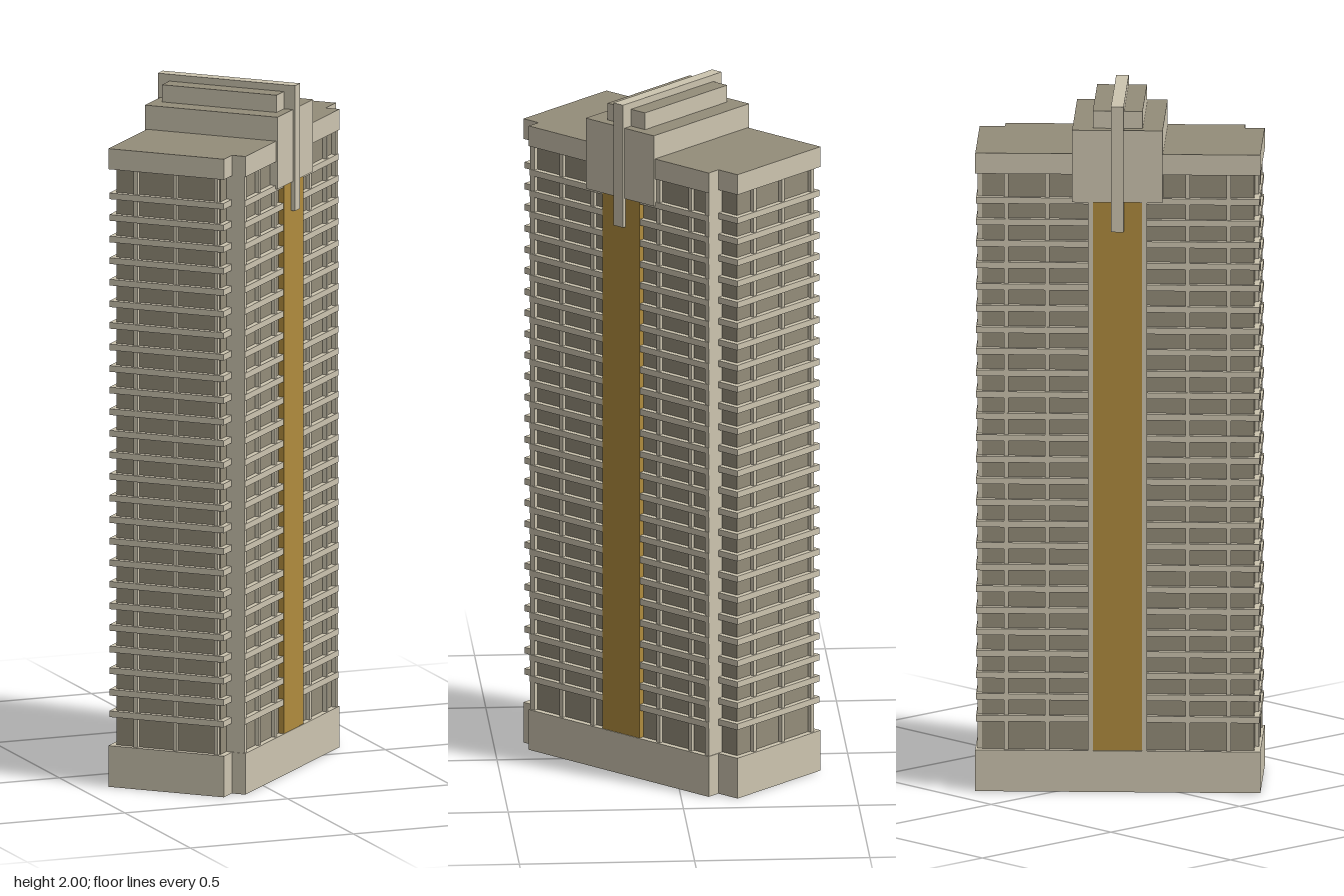
import * as THREE from 'three';

const mat = (name, color) => {
  const m = new THREE.MeshStandardMaterial({ color });
  m.name = name;
  return m;
};

export function createModel() {
  const concrete = mat('concrete', 0xcdc5b0);
  const wall = mat('darkWall', 0x948d7a);
  const gold = mat('goldGlass', 0xb08c3e);

  // The tower is laid out along x and then turned 45 degrees
  const tower = new THREE.Group();
  tower.name = 'tower';
  tower.rotation.y = Math.PI / 4;

  // Footprint with a projecting front bay, shrunk by d
  const footprint = (d) => new THREE.Shape([
    [-0.407 + d, -0.179 + d], [0.405 - d, -0.179 + d], [0.405 - d, 0.179 - d],
    [0.333 - d, 0.179 - d], [0.333 - d, 0.221 - d], [-0.35 + d, 0.221 - d],
    [-0.35 + d, 0.179 - d], [-0.407 + d, 0.179 - d],
  ].map(([u, v]) => new THREE.Vector2(u, -v)));

  const layer = (name, d, y0, y1, caps, sides) => {
    const g = new THREE.ExtrudeGeometry(footprint(d), { depth: y1 - y0, bevelEnabled: false });
    g.rotateX(-Math.PI / 2);
    const mesh = new THREE.Mesh(g, [caps, sides]);
    mesh.name = name;
    mesh.position.y = y0;
    tower.add(mesh);
  };

  // Box given by its limits on each axis
  const box = (name, [x0, x1], [y0, y1], [z0, z1], material) => {
    const mesh = new THREE.Mesh(new THREE.BoxGeometry(x1 - x0, y1 - y0, z1 - z0), material);
    mesh.name = name;
    mesh.position.set((x0 + x1) / 2, (y0 + y1) / 2, (z0 + z1) / 2);
    tower.add(mesh);
  };
  const roofed = [concrete, concrete, wall, concrete, concrete, concrete];

  // Base, recessed walls, floor bands and parapet
  layer('base', 0, 0, 0.12, concrete, concrete);
  layer('walls', 0.018, 0.12, 1.8, wall, wall);
  for (let i = 0; i < 25; i++) {
    const y = 0.203 + i * 0.0629;
    layer('floorBand', 0.002, y, y + 0.018, concrete, concrete);
  }
  layer('parapet', 0, 1.8, 1.86, wall, concrete);

  // Vertical ribs on all four faces
  const shaft = [0.12, 1.8];
  const w = 0.006;
  for (const u of [-0.232, -0.114, 0.136, 0.256])
    box('frontRib', [u - w, u + w], shaft, [0.19, 0.215], concrete);
  for (const u of [-0.317, -0.2, 0.2, 0.317])
    box('backRib', [u - w, u + w], shaft, [-0.173, -0.15], concrete);
  for (const v of [-0.097, 0.025, 0.151]) {
    box('leftEndRib', [0.38, 0.399], shaft, [-v - w, -v + w], concrete);
    box('rightEndRib', [-0.401, -0.38], shaft, [v - w, v + w], concrete);
  }
  // Piers closing the ends of the projecting front bay
  box('bayPier', [-0.348, -0.332], shaft, [0.15, 0.217], concrete);
  box('bayPier', [0.315, 0.331], shaft, [0.15, 0.217], concrete);

  // Gold glass shafts, front and back
  box('frontGlassStrip', [-0.07, 0.07], [0.121, 1.73], [0.19, 0.221], gold);
  box('backGlassStrip', [-0.07, 0.07], [0.121, 1.73], [-0.178, -0.15], gold);
  for (const s of [-1, 1])
    box('backStripFrame', [s * 0.077 - 0.007, s * 0.077 + 0.007], shaft, [-0.182, -0.15], concrete);

  // Crown: head block, upper tier and ridge with hanging ends
  box('headBlock', [-0.129, 0.129], [1.72, 1.93], [-0.185, 0.226], roofed);
  box('upperTier', [-0.071, 0.071], [1.93, 1.98], [-0.156, 0.198], roofed);
  box('ridge', [-0.018, 0.018], [1.93, 2], [-0.192, 0.233], concrete);
  box('frontRidgeDrop', [-0.018, 0.018], [1.635, 1.93], [0.2, 0.233], concrete);
  box('backRidgeDrop', [-0.018, 0.018], [1.635, 1.93], [-0.192, -0.16], concrete);

  const model = new THREE.Group();
  model.name = 'building';
  model.add(tower);
  return model;
}
